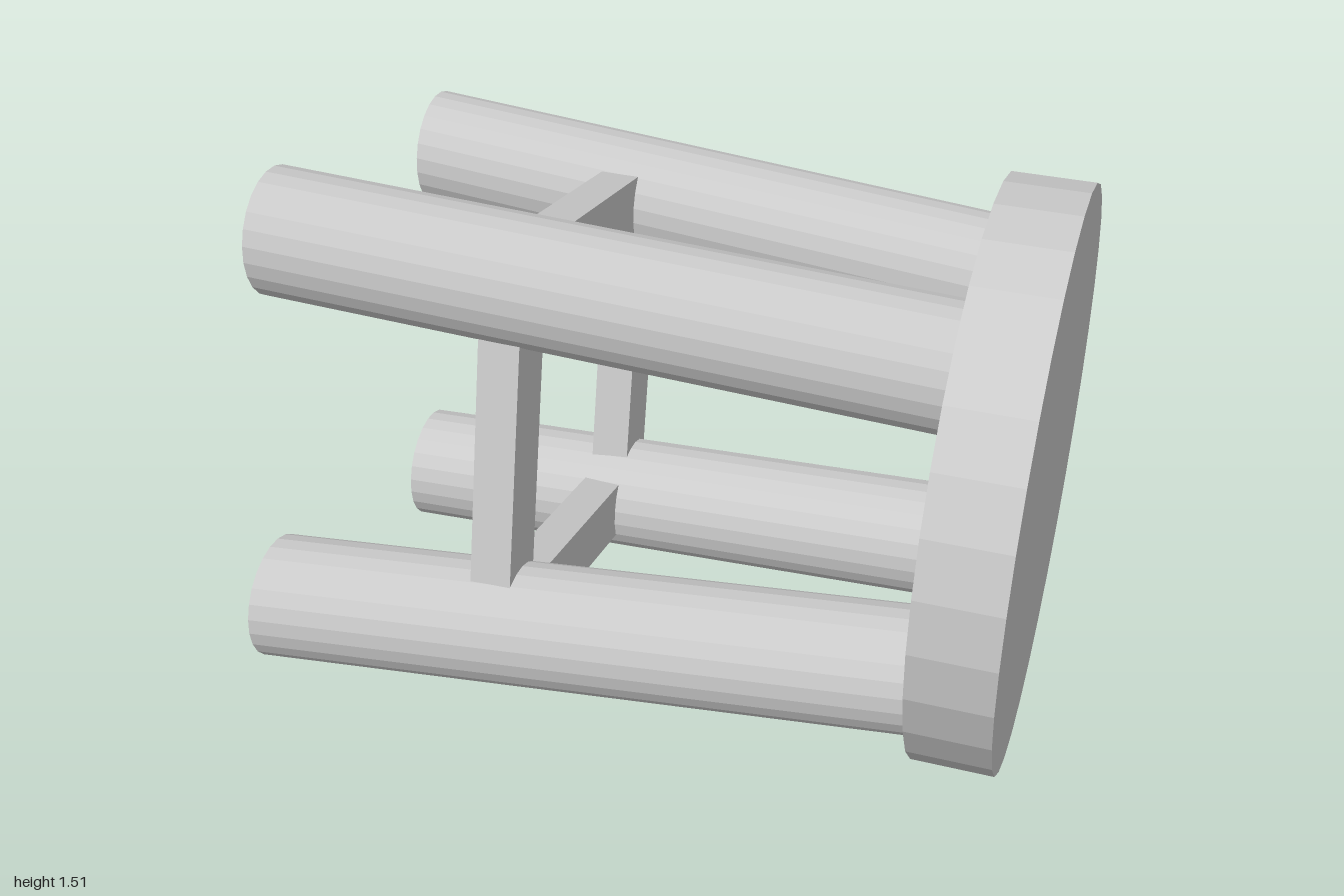
import * as THREE from 'three';

const LEG_HEIGHT = 1.677;   // foot plane to underside of seat
const FOOT_SPREAD = 0.698;  // leg centre distance from axis at the feet
const TOP_SPREAD = 0.553;   // and at the seat
const BAR_HEIGHT = 0.607;

export function createModel() {
  const material = new THREE.MeshStandardMaterial({ color: 0xcccccc, flatShading: true });
  const stool = new THREE.Group();
  stool.name = 'stool';

  const add = (name, geometry, parent) => {
    const mesh = new THREE.Mesh(geometry, material);
    mesh.name = name;
    parent.add(mesh);
    return mesh;
  };

  // Round seat
  add('seat', new THREE.CylinderGeometry(0.75, 0.75, 0.21, 32), stool)
    .position.y = LEG_HEIGHT + 0.105;

  // Four splayed legs, sheared so both ends stay parallel to the seat
  const frame = new THREE.Group();
  frame.name = 'legFrame';
  frame.rotation.y = THREE.MathUtils.degToRad(31.25);
  stool.add(frame);

  const legGeometry = new THREE.CylinderGeometry(0.16, 0.16, LEG_HEIGHT, 24);
  legGeometry.translate(0, LEG_HEIGHT / 2, 0);
  const slope = (TOP_SPREAD - FOOT_SPREAD) / LEG_HEIGHT;
  const p = legGeometry.attributes.position;
  for (let i = 0; i < p.count; i++) {
    p.setX(i, p.getX(i) + FOOT_SPREAD + slope * p.getY(i));
  }
  legGeometry.computeVertexNormals();

  // Four stretchers joining neighbouring legs
  const spread = FOOT_SPREAD + slope * BAR_HEIGHT;
  const barGeometry = new THREE.BoxGeometry(0.16, 0.105, spread * Math.SQRT2);
  barGeometry.translate(spread / Math.SQRT2, BAR_HEIGHT, 0);

  for (let i = 0; i < 4; i++) {
    const angle = i * Math.PI / 2;
    add('leg' + (i + 1), legGeometry, frame).rotation.y = angle;
    add('stretcher' + (i + 1), barGeometry, frame).rotation.y = angle + Math.PI / 4;
  }

  // Lay the stool on its side, seat towards +x and turned slightly to the back
  const up = new THREE.Vector3(0.9967, 0, -0.0814).normalize();
  const side = new THREE.Vector3(0, 1, 0);
  const basis = new THREE.Matrix4().makeBasis(side, up, side.clone().cross(up));
  stool.quaternion.setFromRotationMatrix(basis);
  stool.position.set(-0.94, 0.7625, 0.069);

  const model = new THREE.Group();
  model.name = 'stoolOnItsSide';
  model.add(stool);
  return model;
}
